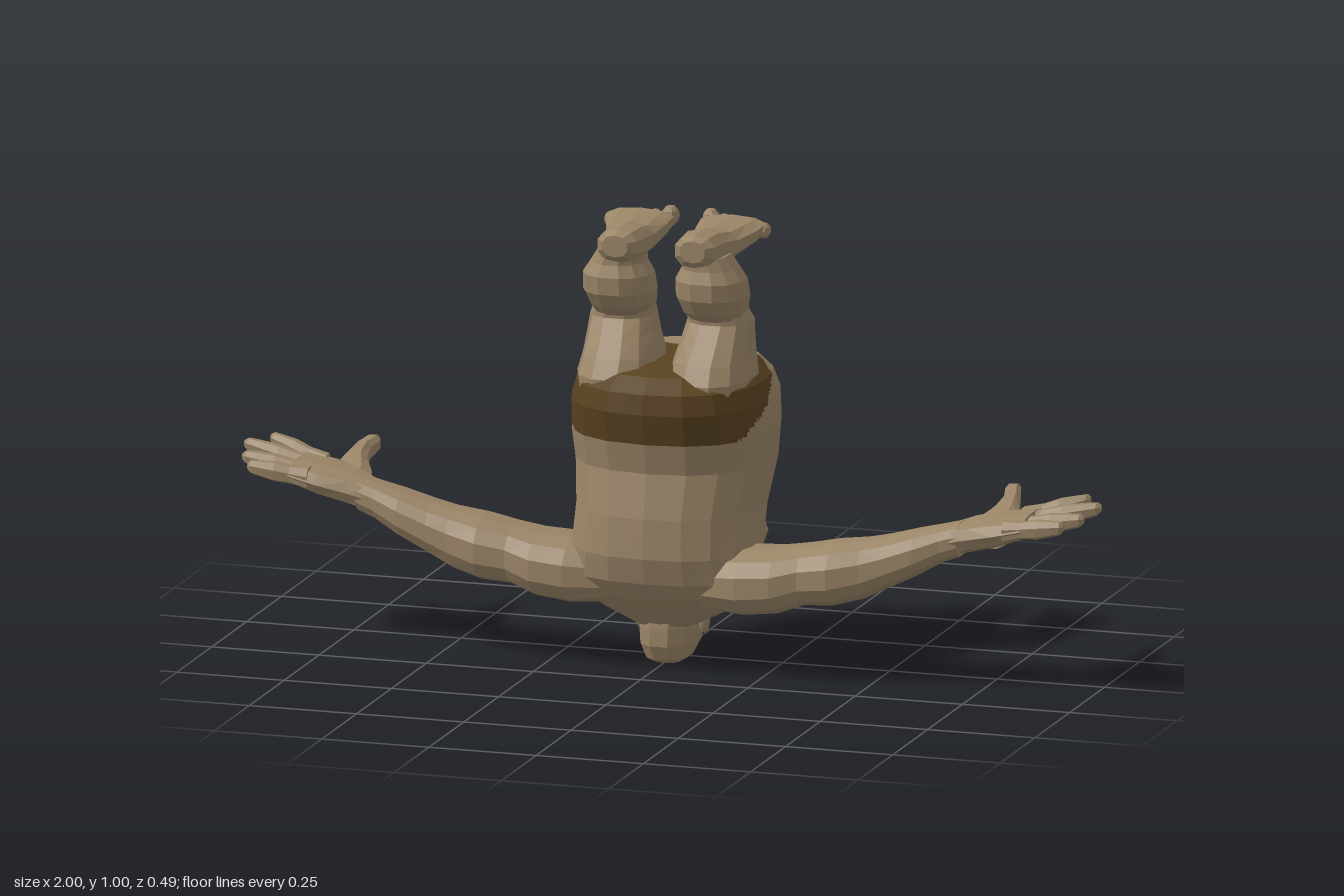
import * as THREE from 'three';

const skin = new THREE.MeshStandardMaterial({ color: 0x9a8567 });
skin.name = 'skin';
const cloth = new THREE.MeshStandardMaterial({ color: 0x584220 });
cloth.name = 'brown cloth';

const spow = (v, p) => Math.sign(v) * Math.abs(v) ** p;

// Faceted loft along an axis. Each section is [position, a0, a1, b0, b1]: the extents
// on x,z for axis y; on y,z for axis x; on x,y for axis z. side = -1 mirrors in x.
// 'sub' splits each facet evenly, so a colour border can be cut by the isDark rule.
function loft(axis, sections, { n = 10, side = 1, power = 0.85, sub = 1, isDark = null } = {}) {
  const place = (t, a, b) => {
    const v = axis === 'x' ? [t, a, b] : axis === 'y' ? [a, t, b] : [a, b, t];
    return new THREE.Vector3(v[0] * side, v[1], v[2]);
  };
  const rings = sections.map(([t, a0, a1, b0, b1]) =>
    Array.from({ length: n }, (_, i) => {
      const u = ((i + 0.5) / n) * Math.PI * 2;
      return place(t, (a0 + a1) / 2 + ((a1 - a0) / 2) * spow(Math.cos(u), power),
        (b0 + b1) / 2 + ((b1 - b0) / 2) * spow(Math.sin(u), power));
    }));
  // End caps collapse to the section centre
  const cap = ([t, a0, a1, b0, b1]) => Array(n).fill(place(t, (a0 + a1) / 2, (b0 + b1) / 2));
  rings.unshift(cap(sections[0]));
  rings.push(cap(sections.at(-1)));

  const tris = [];
  const at = (A, B, C, D, s, t) => A.clone().lerp(B, s).lerp(D.clone().lerp(C, s), t);
  for (let r = 0; r < rings.length - 1; r++) {
    for (let i = 0; i < n; i++) {
      const j = (i + 1) % n;
      const q = [rings[r][i], rings[r][j], rings[r + 1][j], rings[r + 1][i]];
      for (let k = 0; k < sub; k++) {
        for (let m = 0; m < sub; m++) {
          const p = [[k, m], [k + 1, m], [k + 1, m + 1], [k, m + 1]].map(([s, t]) => at(...q, s / sub, t / sub));
          tris.push([p[0], p[1], p[2]], [p[0], p[2], p[3]]);
        }
      }
    }
  }
  // Face outwards
  const mid = rings[Math.floor(rings.length / 2)].reduce((s, v) => s.add(v), new THREE.Vector3()).divideScalar(n);
  let volume = 0;
  for (const [a, b, c] of tris) {
    volume += a.clone().sub(mid).dot(b.clone().sub(mid).cross(c.clone().sub(mid)));
  }
  if (volume < 0) tris.forEach((t) => t.reverse());

  const toMesh = (list, material) => {
    const g = new THREE.BufferGeometry().setFromPoints(list.flat());
    g.computeVertexNormals();
    return new THREE.Mesh(g, material);
  };
  if (!isDark) return toMesh(tris, skin);
  const dark = (t) => isDark(t[0].clone().add(t[1]).add(t[2]).divideScalar(3));
  const group = new THREE.Group();
  const bare = toMesh(tris.filter((t) => !dark(t)), skin);
  const clothed = toMesh(tris.filter(dark), cloth);
  bare.name = 'bareBody';
  clothed.name = 'shorts';
  group.add(bare, clothed);
  return group;
}

// Faceted ellipsoid
function lump(x, y, z, rx, ry, rz) {
  const g = new THREE.SphereGeometry(1, 9, 6).scale(rx, ry, rz).toNonIndexed();
  g.computeVertexNormals();
  const m = new THREE.Mesh(g, skin);
  m.position.set(x, y, z);
  return m;
}

export function createModel() {
  const model = new THREE.Group();
  const add = (name, mesh, parent = model) => {
    mesh.name = name;
    parent.add(mesh);
    return mesh;
  };

  // Upside-down torso: the belly bulges to -z, the back is at +z
  add('torso', loft('y', [
    [0.09, -0.07, 0.07, 0.0, 0.115], [0.13, -0.15, 0.15, -0.03, 0.15],
    [0.17, -0.2, 0.2, -0.075, 0.19], [0.21, -0.22, 0.22, -0.09, 0.22],
    [0.27, -0.212, 0.212, -0.12, 0.237], [0.36, -0.21, 0.21, -0.185, 0.232],
    [0.46, -0.222, 0.222, -0.24, 0.212], [0.53, -0.228, 0.228, -0.246, 0.228],
    [0.6, -0.226, 0.226, -0.246, 0.242], [0.645, -0.212, 0.212, -0.225, 0.234],
    [0.675, -0.18, 0.18, -0.195, 0.19], [0.687, -0.12, 0.12, -0.165, 0.12],
  ], {
    n: 18, sub: 8,
    isDark: (p) => p.z > -0.09 && p.y > 0.53 + Math.max(0, 0.14 - p.z) * 0.6,
  }));

  // Head, crown down, facing -z
  const head = add('head', new THREE.Group());
  add('skull', loft('y', [
    [0.0, -0.03, 0.03, 0.02, 0.085], [0.012, -0.05, 0.05, -0.02, 0.11],
    [0.045, -0.064, 0.064, -0.06, 0.126], [0.085, -0.068, 0.068, -0.072, 0.125],
    [0.125, -0.066, 0.066, -0.075, 0.12], [0.16, -0.055, 0.055, -0.08, 0.08],
    [0.188, -0.03, 0.03, -0.088, 0.02],
  ], { n: 12 }), head);
  add('brow', lump(0, 0.062, -0.055, 0.05, 0.014, 0.022), head);
  add('nose', lump(0, 0.095, -0.075, 0.016, 0.026, 0.02), head);
  add('mouth', lump(0, 0.132, -0.072, 0.034, 0.014, 0.016), head);
  add('chin', lump(0, 0.168, -0.065, 0.036, 0.02, 0.027), head);

  for (const side of [1, -1]) {
    const word = side > 0 ? 'left' : 'right';
    const opt = (n) => ({ n, side });
    add(word + 'Ear', lump(side * 0.074, 0.09, 0.02, 0.012, 0.03, 0.02), head);
    add(word + 'Cheek', lump(side * 0.035, 0.11, -0.052, 0.024, 0.024, 0.026), head);
    add(word + 'Chest', lump(side * 0.09, 0.275, -0.075, 0.1, 0.075, 0.075));

    // Arm with shoulder, elbow and wrist
    const arm = add(word + 'Arm', new THREE.Group());
    add('armMuscle', loft('x', [
      [0.1, 0.14, 0.27, 0.0, 0.18], [0.2, 0.133, 0.285, -0.015, 0.205],
      [0.28, 0.143, 0.29, -0.005, 0.203], [0.34, 0.165, 0.3, 0.01, 0.185],
      [0.41, 0.17, 0.315, 0.008, 0.192], [0.48, 0.19, 0.325, 0.025, 0.175],
      [0.53, 0.215, 0.335, 0.022, 0.17], [0.6, 0.25, 0.355, 0.03, 0.165],
      [0.66, 0.285, 0.37, 0.045, 0.15], [0.7, 0.3, 0.38, 0.045, 0.145],
    ], opt(12)), arm);

    // Hand: palm, four spread fingers and thumb
    const hand = add('hand', new THREE.Group(), arm);
    add('palm', loft('x', [
      [0.67, 0.3, 0.37, 0.045, 0.145], [0.72, 0.31, 0.385, 0.005, 0.15],
      [0.79, 0.328, 0.398, -0.025, 0.158], [0.855, 0.352, 0.405, -0.022, 0.156],
    ], opt(10)), hand);
    const fingers = [[0.0, -0.038, 0.955, 0.415], [0.042, 0.018, 0.998, 0.412],
      [0.09, 0.088, 0.98, 0.4], [0.133, 0.143, 0.95, 0.392]];
    for (const [z0, z1, tip, y1] of fingers) {
      const steps = [[0, 0.024], [0.3, 0.019], [0.55, 0.021], [0.8, 0.017], [0.95, 0.014], [1, 0.007]];
      add('finger', loft('x', steps.map(([t, r]) => {
        const y = 0.372 + (y1 - 0.372) * t;
        const z = z0 + (z1 - z0) * t;
        return [0.81 + (tip - 0.81) * t, y - r * 1.1, y + r * 1.1, z - r, z + r];
      }), opt(7)), hand);
    }
    add('thumb', loft('z', [
      [0.06, 0.69, 0.8, 0.31, 0.37], [0.0, 0.705, 0.8, 0.32, 0.385],
      [-0.04, 0.73, 0.79, 0.342, 0.4], [-0.085, 0.737, 0.778, 0.36, 0.412],
      [-0.125, 0.727, 0.766, 0.375, 0.418], [-0.15, 0.737, 0.757, 0.39, 0.412],
    ], opt(8)), hand);

    // Leg: thigh, knee crease, calf and ankle
    const leg = add(word + 'Leg', new THREE.Group());
    add('thigh', loft('y', [
      [0.6, 0.02, 0.19, -0.07, 0.19], [0.66, 0.014, 0.2, -0.085, 0.19],
      [0.7, 0.02, 0.192, -0.085, 0.165], [0.745, 0.032, 0.188, -0.066, 0.125],
      [0.78, 0.04, 0.186, -0.058, 0.098], [0.805, 0.042, 0.175, -0.045, 0.1],
    ], opt(12)), leg);
    add('calf', loft('y', [
      [0.785, 0.05, 0.17, -0.045, 0.095], [0.81, 0.036, 0.178, -0.042, 0.13],
      [0.845, 0.028, 0.188, -0.028, 0.153], [0.885, 0.03, 0.186, -0.008, 0.156],
      [0.912, 0.045, 0.168, 0.005, 0.146], [0.94, 0.045, 0.15, 0.01, 0.145],
    ], opt(12)), leg);

    // Foot, sole up, toes to -z
    const foot = add('foot', new THREE.Group(), leg);
    add('sole', loft('z', [
      [0.158, 0.06, 0.12, 0.935, 0.985], [0.14, 0.042, 0.138, 0.918, 0.995],
      [0.08, 0.035, 0.145, 0.91, 0.996], [0.02, 0.04, 0.155, 0.91, 0.985],
      [-0.04, 0.032, 0.178, 0.928, 0.988], [-0.085, 0.028, 0.188, 0.945, 0.992],
      [-0.1, 0.04, 0.175, 0.955, 0.985],
    ], opt(10)), foot);
    for (let i = 0; i < 5; i++) {
      const r = i === 0 ? 0.02 : 0.015;
      add('toe', lump(side * (0.047 + i * 0.033), 0.973 - i * 0.003, -0.11 + i * 0.006, r, r * 1.2, r * 1.25), foot);
    }
  }
  return model;
}
